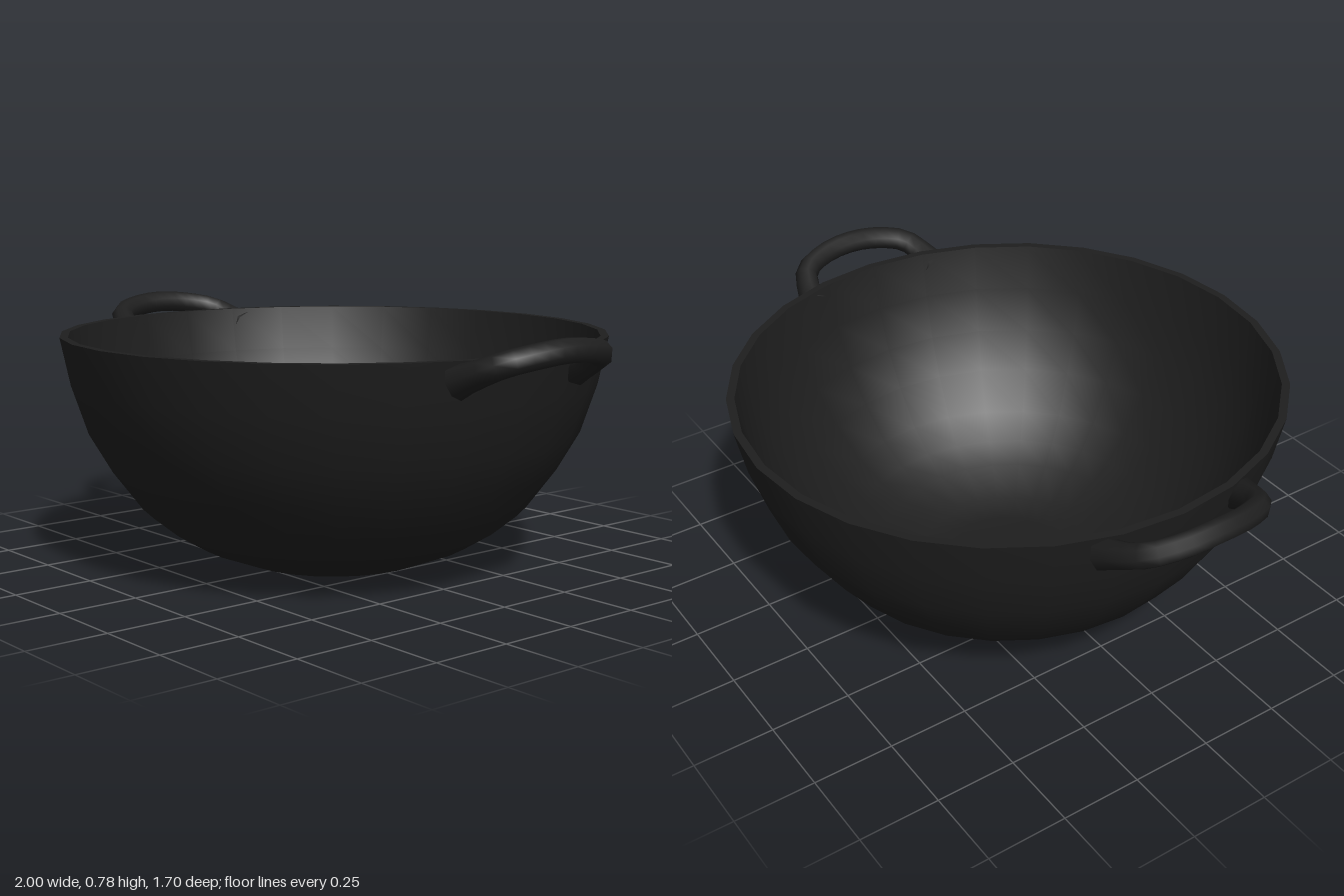
import * as THREE from 'three';

export function createModel() {
  const group = new THREE.Group();
  const iron = new THREE.MeshStandardMaterial({ color: 0x1e1e1e });
  iron.name = 'blackIron';
  const add = (geometry, name) => {
    const mesh = new THREE.Mesh(geometry, iron);
    mesh.name = name;
    group.add(mesh);
    return mesh;
  };
  const lathe = (points) => new THREE.LatheGeometry(points.map(([r, y]) => new THREE.Vector2(r, y)), 28);

  // Outer wall, from the flat base up to the rim
  const outer = [[0, 0], [0.22, 0], [0.3, 0.015], [0.44, 0.07], [0.53, 0.125], [0.61, 0.19],
    [0.7, 0.31], [0.77, 0.43], [0.82, 0.58], [0.85, 0.725]];
  add(lathe(outer), 'bowlOutside').scale.x = 0.98;

  // Inner wall, from the rim down to the floor
  const inner = [[0.825, 0.725], [0.795, 0.58], [0.745, 0.44], [0.675, 0.32], [0.585, 0.205],
    [0.5, 0.14], [0.42, 0.09], [0.29, 0.04], [0.2, 0.025], [0, 0.025]];
  add(lathe(inner), 'bowlInside').scale.x = 0.98;

  // Flat rim joining both walls
  add(lathe([[0.85, 0.725], [0.825, 0.725]]), 'rim').scale.x = 0.98;

  // Looped side handles, rising outward, thicker where they meet the bowl
  const path = new THREE.CatmullRomCurve3([
    [0.785, 0.665, 0.235], [0.85, 0.692, 0.222], [0.915, 0.722, 0.19], [0.955, 0.742, 0.1],
    [0.965, 0.75, 0], [0.955, 0.742, -0.1], [0.915, 0.722, -0.19], [0.85, 0.692, -0.222],
    [0.785, 0.665, -0.235],
  ].map((p) => new THREE.Vector3(...p)));
  const steps = 16, sides = 8;
  const handle = new THREE.TubeGeometry(path, steps, 0.036, sides, false);
  const pos = handle.attributes.position;
  const v = new THREE.Vector3();
  for (let i = 0; i <= steps; i++) {
    const centre = path.getPointAt(i / steps);
    const swell = 1 + 0.4 * Math.pow(Math.abs(2 * i / steps - 1), 6);
    for (let j = 0; j <= sides; j++) {
      const k = i * (sides + 1) + j;
      v.fromBufferAttribute(pos, k).sub(centre).multiplyScalar(swell).add(centre);
      pos.setXYZ(k, v.x, v.y, v.z);
    }
  }
  add(handle, 'leftHandle');
  add(handle, 'rightHandle').rotation.y = Math.PI;

  return group;
}
